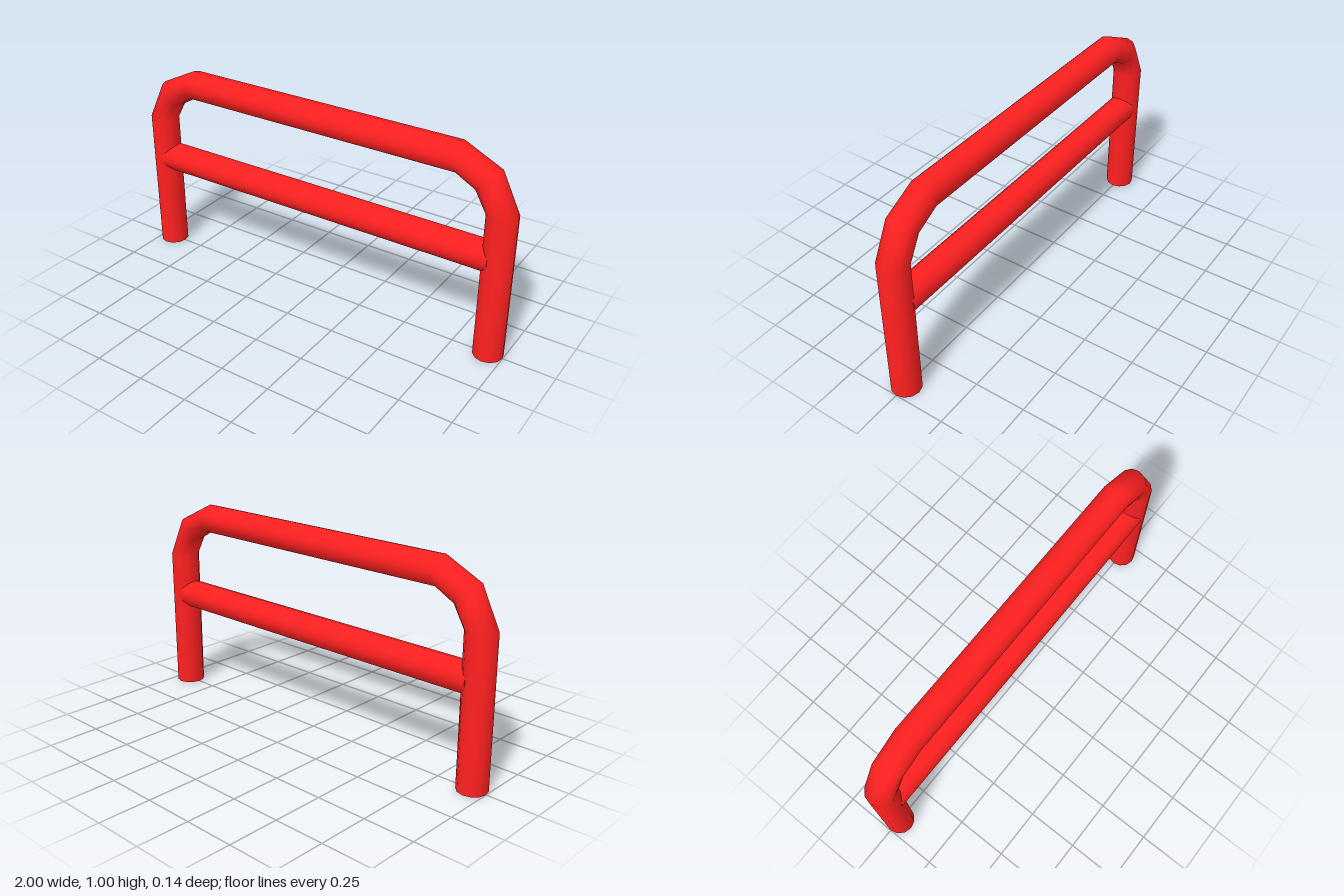
import * as THREE from 'three';

const R = 0.071; // pipe radius
const SIDES = 12;

// Bent pipe swept through rings given as [x, y, angle of the outward direction]
function bentPipe(rings) {
  const positions = [], index = [];
  rings.forEach(([x, y, angle], k) => {
    for (let i = 0; i < SIDES; i++) {
      const a = (i / SIDES) * Math.PI * 2;
      const out = R * Math.cos(a);
      positions.push(x + out * Math.cos(angle), y + out * Math.sin(angle), R * Math.sin(a));
      if (k < rings.length - 1) {
        const p = k * SIDES + i, q = k * SIDES + (i + 1) % SIDES;
        index.push(p, q, q + SIDES, p, q + SIDES, p + SIDES);
      }
    }
  });
  const geometry = new THREE.BufferGeometry();
  geometry.setAttribute('position', new THREE.Float32BufferAttribute(positions, 3));
  geometry.setIndex(index);
  geometry.computeVertexNormals();
  return geometry;
}

export function createModel() {
  const group = new THREE.Group();
  group.name = 'barrierRail';
  const red = new THREE.MeshStandardMaterial({ color: 0xff2020 });

  const add = (name, geometry, x = 0, y = 0) => {
    const mesh = new THREE.Mesh(geometry, red);
    mesh.name = name;
    mesh.position.set(x, y, 0);
    group.add(mesh);
  };

  // Hoop: leg, two-step bend, top bar, then the mirrored half
  const half = [
    [-0.929, 0, Math.PI],
    [-0.929, 0.715, Math.PI],
    [-0.855, 0.858, Math.PI * 0.75],
    [-0.715, 0.929, Math.PI / 2],
  ];
  const mirrored = half.map(([x, y, a]) => [-x, y, Math.PI - a]).reverse();
  add('hoop', bentPipe([...half, ...mirrored]));

  // Flat feet closing the legs
  for (const [name, side] of [['leftFoot', 1], ['rightFoot', -1]]) {
    add(name, new THREE.CircleGeometry(R, SIDES).rotateX(Math.PI / 2), side * 0.929, 0);
  }

  // Middle crossbar, running into the legs
  add('crossbar', new THREE.CylinderGeometry(R, R, 1.81, SIDES).rotateZ(Math.PI / 2), 0, 0.5);

  return group;
}
